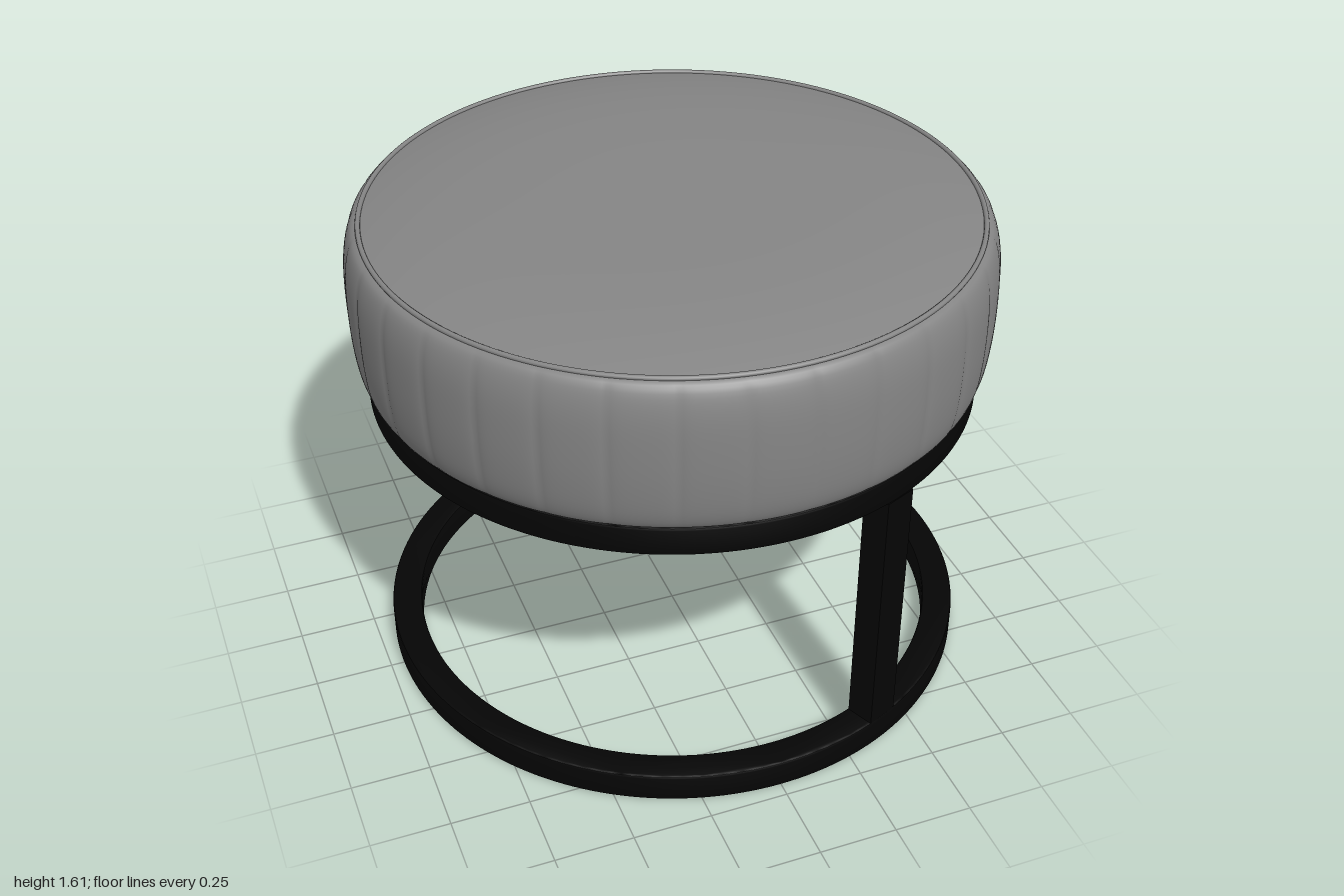
import * as THREE from 'three';
import { mergeVertices, toCreasedNormals } from 'three/addons/utils/BufferGeometryUtils.js';

const BASE_HEIGHT = 0.095;   // thickness of each frame ring
const SEAT_Y = 1.06;         // underside of the cushion
const PLEATS = 32;

// Square-section ring with softly bevelled edges, resting on y
function frameRing(name, y, material) {
  const bevel = 0.008;
  const shape = new THREE.Shape().absarc(0, 0, 0.958 - bevel, 0, Math.PI * 2, false);
  shape.holes.push(new THREE.Path().absarc(0, 0, 0.86 + bevel, 0, Math.PI * 2, true));
  const geo = new THREE.ExtrudeGeometry(shape, {
    depth: BASE_HEIGHT - 2 * bevel, curveSegments: 96,
    bevelEnabled: true, bevelThickness: bevel, bevelSize: bevel, bevelSegments: 2,
  });
  geo.rotateX(-Math.PI / 2);
  const mesh = new THREE.Mesh(toCreasedNormals(geo, 0.6), material);
  mesh.position.y = y + bevel;
  mesh.name = name;
  return mesh;
}

// Bulging cushion wall with narrow vertical pleats
function pleatedWall() {
  const curve = new THREE.SplineCurve([
    [0.945, SEAT_Y], [0.968, 1.075], [0.986, 1.13], [0.996, 1.22], [0.999, 1.32],
    [0.996, 1.42], [0.985, 1.49], [0.966, 1.535], [0.938, 1.549],
  ].map(([r, y]) => new THREE.Vector2(r, y)));
  let geo = new THREE.LatheGeometry(curve.getPoints(28), PLEATS * 16);
  const pos = geo.attributes.position;
  for (let i = 0; i < pos.count; i++) {
    const x = pos.getX(i), y = pos.getY(i), z = pos.getZ(i);
    const turn = Math.atan2(z, x) / (Math.PI * 2) * PLEATS + 0.25;
    const d = Math.abs(turn - Math.round(turn));          // 0 at a crease, 0.5 mid-panel
    const fade = Math.sin(Math.PI * THREE.MathUtils.clamp((y - SEAT_Y) / 0.489, 0, 1));
    const k = 1 - 0.006 * Math.sqrt(fade) * Math.exp(-d * 11);
    pos.setXYZ(i, x * k, y, z * k);
  }
  geo.deleteAttribute('uv');
  geo.deleteAttribute('normal');
  geo = mergeVertices(geo, 1e-5);
  geo.computeVertexNormals();
  return geo;
}

export function createModel() {
  const model = new THREE.Group();
  model.name = 'roundStool';
  const fabric = new THREE.MeshStandardMaterial({ color: 0x858585 });
  const metal = new THREE.MeshStandardMaterial({ color: 0x050505 });
  const add = (parent, name, geo, material) => {
    const mesh = new THREE.Mesh(geo, material);
    mesh.name = name;
    parent.add(mesh);
    return mesh;
  };

  // Frame: floor ring, seat ring and two opposite posts
  const frame = new THREE.Group();
  frame.name = 'frame';
  frame.add(frameRing('floorRing', 0, metal));
  frame.add(frameRing('seatRing', SEAT_Y - BASE_HEIGHT, metal));
  const postHeight = SEAT_Y - 2 * BASE_HEIGHT;
  const angle = THREE.MathUtils.degToRad(23.2);
  for (const [name, a] of [['frontPost', angle], ['backPost', angle + Math.PI]]) {
    const post = add(frame, name, new THREE.BoxGeometry(0.108, postHeight, 0.093), metal);
    post.position.set(Math.sin(a) * 0.91, SEAT_Y / 2, Math.cos(a) * 0.91);
    post.rotation.y = a;
  }
  model.add(frame);

  // Cushion: wall, domed top, piping and underside
  const cushion = new THREE.Group();
  cushion.name = 'cushion';
  add(cushion, 'cushionWall', pleatedWall(), fabric);
  const dome = [];
  for (let i = 0; i <= 24; i++) {
    const t = Math.cos(i / 24 * Math.PI / 2);             // denser rows near the rim
    dome.push(new THREE.Vector2(0.94 * t, 1.547 + 0.058 * (1 - t ** 4)));
  }
  add(cushion, 'cushionTop', new THREE.LatheGeometry(dome, 128), fabric);
  const piping = add(cushion, 'piping', new THREE.TorusGeometry(0.942, 0.008, 10, 160), fabric);
  piping.rotation.x = Math.PI / 2;
  piping.position.y = 1.549;
  const underside = add(cushion, 'underside', new THREE.CircleGeometry(0.94, 128), fabric);
  underside.rotation.x = Math.PI / 2;
  underside.position.y = SEAT_Y - 0.002;
  model.add(cushion);

  return model;
}
